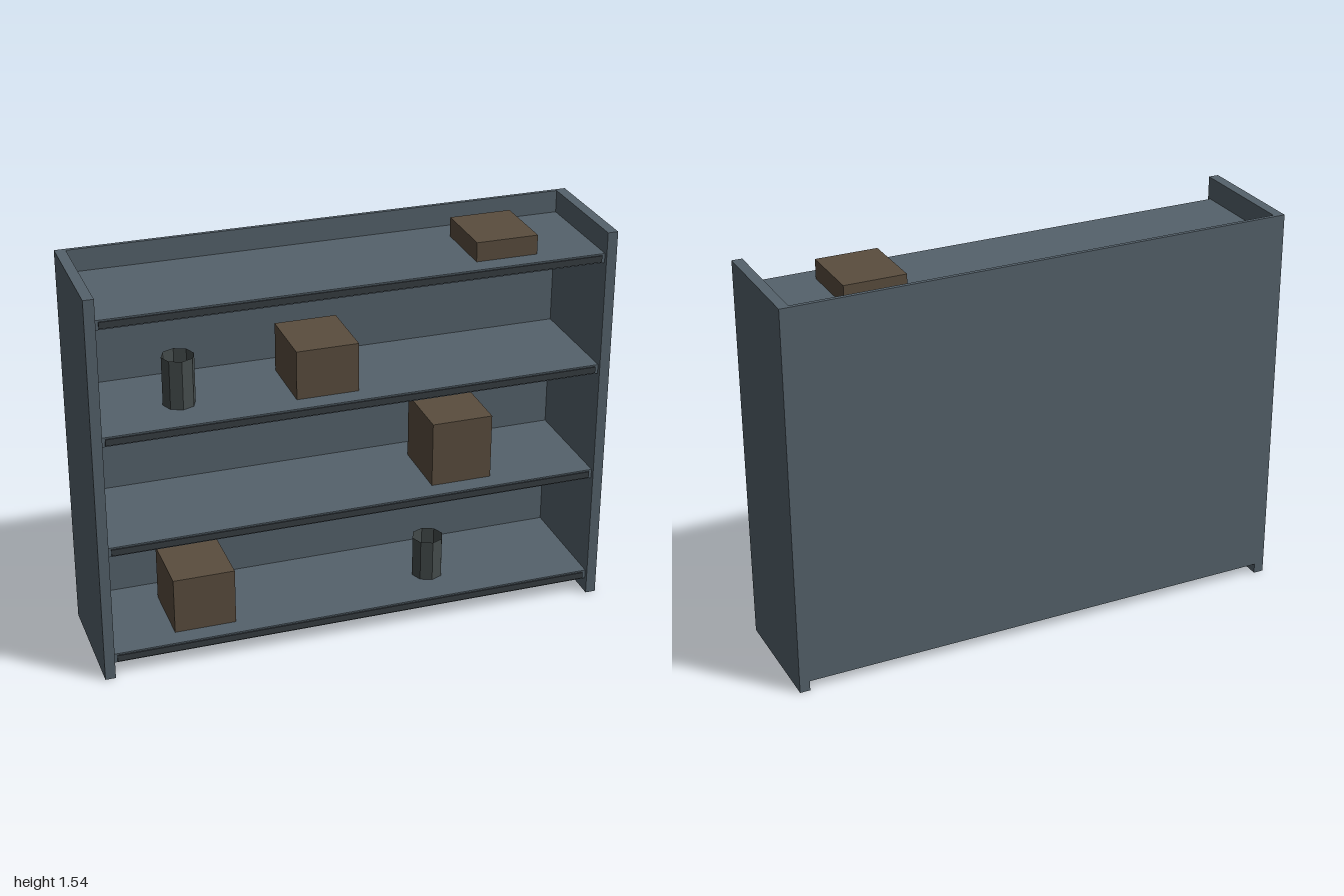
import * as THREE from 'three';

const material = (color, extra = {}) => {
  const m = new THREE.MeshStandardMaterial(extra);
  m.color.setHex(color);
  return m;
};

export function createModel() {
  const group = new THREE.Group();
  const metal = material(0x55626b);
  const trim = material(0x363c41);
  const card = material(0x5a4d3e);
  const tin = material(0x454c4c, { flatShading: true, side: THREE.DoubleSide });

  // Box given by its min and max corners
  const box = (name, mat, [x0, y0, z0], [x1, y1, z1]) => {
    const mesh = new THREE.Mesh(new THREE.BoxGeometry(x1 - x0, y1 - y0, z1 - z0), mat);
    mesh.position.set((x0 + x1) / 2, (y0 + y1) / 2, (z0 + z1) / 2);
    mesh.name = name;
    group.add(mesh);
  };

  // Case: side panels stand on the floor, back panel stops just above it
  box('leftSidePanel', metal, [0.96, 0, -0.24], [1, 1.54, 0.24]);
  box('rightSidePanel', metal, [-1, 0, -0.24], [-0.96, 1.54, 0.24]);
  box('backPanel', metal, [-0.96, 0.04, -0.24], [0.96, 1.54, -0.225]);

  // Shelves with a dark strip along the front edge
  const shelfTops = [0.095, 0.55, 1, 1.453];
  for (const y of shelfTops) {
    box('shelf', metal, [-0.96, y - 0.037, -0.225], [0.96, y, 0.224]);
    box('shelfFrontStrip', trim, [-0.947, y - 0.031, 0.22], [0.947, y - 0.006, 0.23]);
  }

  // Storage boxes: shelf index, centre x, height
  for (const [shelf, x, h] of [[0, -0.585, 0.225], [1, 0.445, 0.26], [2, -0.093, 0.192], [3, 0.6, 0.075]]) {
    const y = shelfTops[shelf];
    box('storageBox', card, [x - 0.12, y, -0.12], [x + 0.12, y + h, 0.15]);
  }

  // Open eight-sided cups: shelf index, centre x, height
  for (const [shelf, x, h] of [[0, 0.355, 0.168], [2, -0.627, 0.192]]) {
    const r = 0.062;
    const cup = new THREE.Group();
    cup.name = 'cup';
    const wall = new THREE.Mesh(new THREE.CylinderGeometry(r, r, h, 8, 1, true), tin);
    wall.name = 'cupWall';
    wall.position.y = h / 2;
    const base = new THREE.Mesh(new THREE.CircleGeometry(r, 8), tin);
    base.name = 'cupBase';
    base.rotation.x = -Math.PI / 2;
    base.position.y = 0.004;
    cup.add(wall, base);
    cup.position.set(x, shelfTops[shelf], 0.037);
    group.add(cup);
  }

  return group;
}
